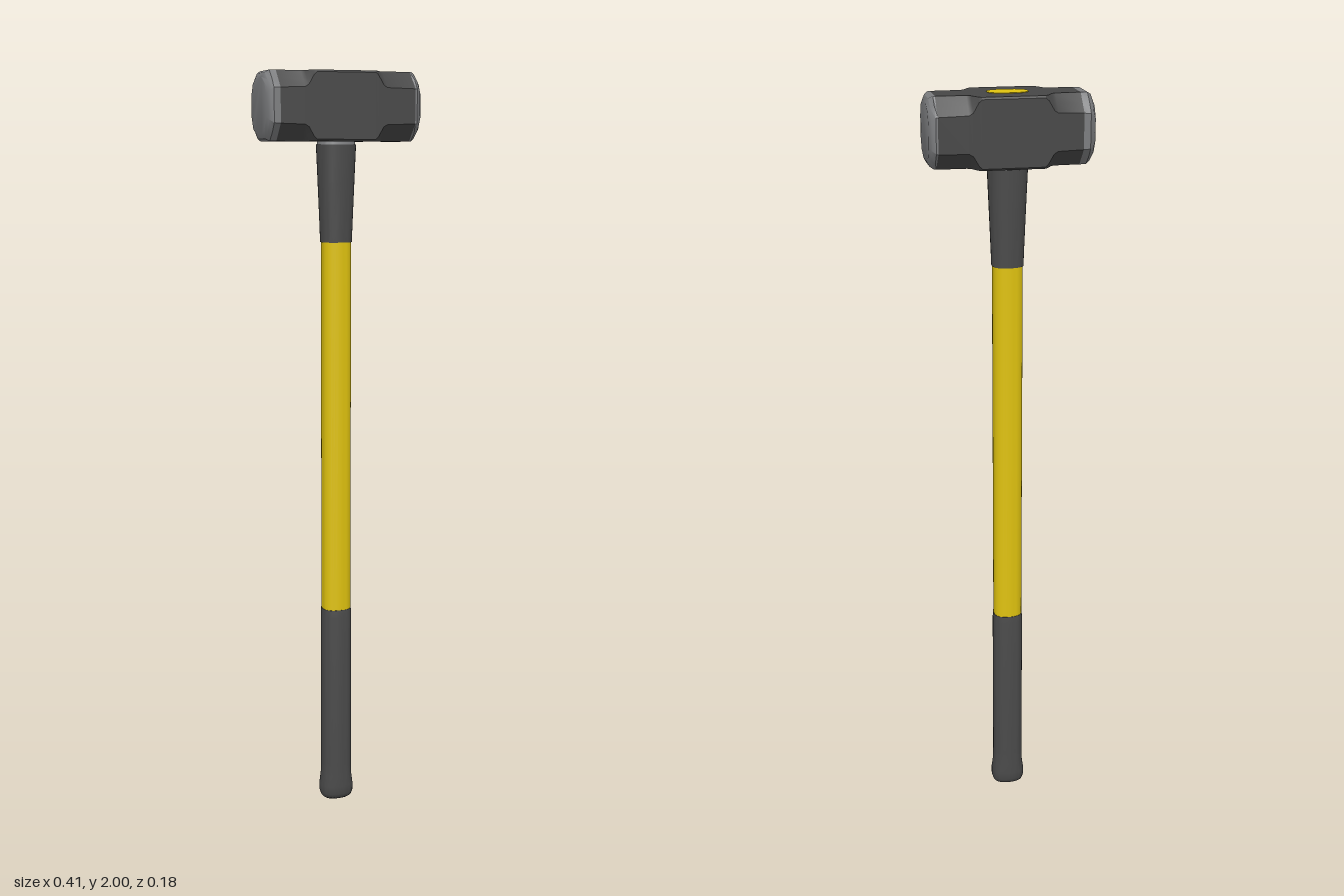
import * as THREE from 'three';
import { toCreasedNormals } from 'three/addons/utils/BufferGeometryUtils.js';

const mat = (name, color) => {
  const m = new THREE.MeshStandardMaterial({ color });
  m.name = name;
  return m;
};

// Skin closed rings (counterclockwise about the loft direction), with optional caps
function loft(rings, capStart, capEnd, crease) {
  const n = rings[0].length, pos = [], idx = [];
  rings.forEach(r => r.forEach(p => pos.push(...p)));
  for (let i = 0; i < rings.length - 1; i++) {
    for (let j = 0; j < n; j++) {
      const k = (j + 1) % n, a = i * n, b = a + n;
      idx.push(a + j, a + k, b + k, a + j, b + k, b + j);
    }
  }
  const cap = (ring, flip) => {
    const base = pos.length / 3;
    ring.forEach(p => pos.push(...p));
    for (let j = 1; j < n - 1; j++) {
      idx.push(base, base + (flip ? j + 1 : j), base + (flip ? j : j + 1));
    }
  };
  if (capStart) cap(rings[0], true);
  if (capEnd) cap(rings[rings.length - 1], false);
  const g = new THREE.BufferGeometry();
  g.setAttribute('position', new THREE.Float32BufferAttribute(pos, 3));
  g.setIndex(idx);
  g.computeVertexNormals();
  return crease ? toCreasedNormals(g, crease) : g;
}

// Rounded oval handle section at height y
function oval(y, rx, rz) {
  const pow = v => Math.sign(v) * Math.abs(v) ** 0.8;
  return Array.from({ length: 32 }, (_, i) => {
    const t = i / 32 * Math.PI * 2;
    return [rx * pow(Math.sin(t)), y, rz * pow(Math.cos(t))];
  });
}

// Square head section at x with cut corners; bulge rounds the cuts
const headY = 1.912;
function section(x, h, w, c, bulge = 0) {
  const pts = [];
  const corner = (sy, sz, swap) => {
    const m = c / 2 - bulge;
    const three = [[h, w - c], [h - m, w - m], [h - c, w]];
    if (swap) three.reverse();
    three.forEach(([y, z]) => pts.push([x, headY + sy * y, sz * z]));
  };
  corner(1, 1, false);
  corner(-1, 1, true);
  corner(-1, -1, false);
  corner(1, -1, true);
  return pts;
}

export function createModel() {
  const root = new THREE.Group();
  root.name = 'sledgehammer';
  const steel = mat('dark steel', 0x464646);
  const worn = mat('worn steel', 0x7c7d7f);
  const rubber = mat('black rubber', 0x4a4a4a);
  const yellow = mat('yellow fibreglass', 0xdfc20f);
  const add = (name, geometry, material, parent = root) => {
    const m = new THREE.Mesh(geometry, material);
    m.name = name;
    parent.add(m);
    return m;
  };
  const tube = (name, rows, material) =>
    add(name, loft(rows.map(r => oval(...r)), true, true, 0.7), material);

  // Handle: flared grip, yellow shaft, tapered collar under the head
  tube('grip', [
    [0, 0.034, 0.026], [0.006, 0.042, 0.034], [0.018, 0.046, 0.039], [0.04, 0.046, 0.04],
    [0.07, 0.042, 0.039], [0.11, 0.041, 0.039], [0.54, 0.041, 0.039], [0.56, 0.04, 0.037],
  ], rubber);
  tube('shaft', [[0.555, 0.039, 0.036], [1.57, 0.039, 0.036]], yellow);
  tube('collar', [
    [1.565, 0.041, 0.038], [1.6, 0.042, 0.039], [1.72, 0.047, 0.043], [1.816, 0.051, 0.047],
  ], rubber);
  tube('collarRim', [[1.816, 0.049, 0.045], [1.83, 0.047, 0.043]], worn);

  // Head: square middle, octagonal poll on each side
  const head = new THREE.Group();
  head.name = 'head';
  root.add(head);
  const H = 0.088, W = 0.089, wear = { left: 0.186, right: 0.174 };
  const half = [[0.078, 0.005], [0.086, 0.012], [0.1, 0.036], [0.11, 0.042]];
  const body = [
    section(-wear.right, H, W, 0.044),
    ...half.slice().reverse().map(([x, c]) => section(-x, H, W, c)),
    ...half.map(([x, c]) => section(x, H, W, c)),
    section(wear.left, H, W, 0.044),
  ];
  add('headBody', loft(body, false, false, 0.5), steel, head);

  // Worn striking faces with bevelled rims
  for (const side of ['left', 'right']) {
    const s = side === 'left' ? 1 : -1;
    const rings = [
      section(s * wear[side], H, W, 0.044),
      section(s * 0.191, H, W, 0.045, 0.002),
      section(s * 0.201, 0.082, 0.082, 0.046, 0.004),
      section(s * 0.207, 0.071, 0.071, 0.044, 0.007),
    ];
    if (s < 0) rings.reverse();
    add(side + 'StrikingFace', loft(rings, s < 0, s > 0, 0.5), worn, head);
  }

  // Handle end showing through the eye on top
  add('handleEnd', loft([
    [headY + H - 0.005], [headY + H + 0.0015],
  ].map(([y]) => oval(y, 0.052, 0.033)), false, true, 0.7), yellow, head);

  return root;
}
